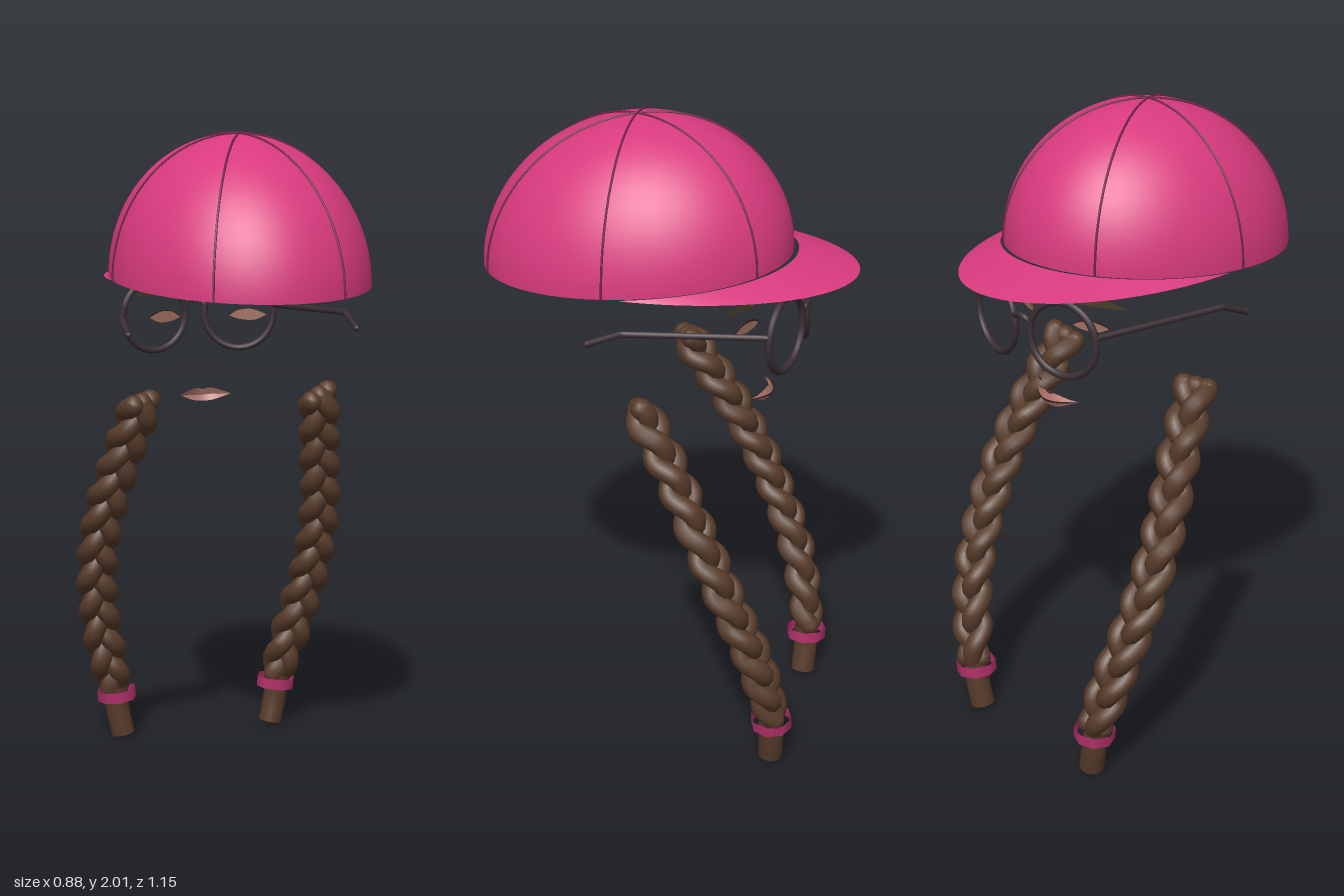
import * as THREE from 'three';

const V = (x, y, z) => new THREE.Vector3(x, y, z);
function paint(name, color, double = true) {
  const m = new THREE.MeshStandardMaterial({ color, side: double ? THREE.DoubleSide : THREE.FrontSide });
  m.name = name;
  return m;
}

export function createModel() {
  const model = new THREE.Group();
  model.name = 'capGlassesAndBraids';
  const pink = paint('cap pink', 0xd83a7e);
  const seamPink = paint('seam dark pink', 0x732449, false);
  const tiePink = paint('hair tie pink', 0xb0306a);
  const hair = paint('hair brown', 0x573b2a, false);
  const frame = paint('frame dark', 0x3a2e33, false);
  const brow = paint('brow brown', 0x4a3c26);
  const lid = paint('eyelid rose', 0xa0705f);
  const lip = paint('lip rose', 0xb0736a);
  const dark = paint('line dark', 0x3a2020);

  const add = (name, geo, mat, parent = model) => {
    const mesh = new THREE.Mesh(geo, mat);
    mesh.name = name;
    parent.add(mesh);
    return mesh;
  };
  const group = (name) => {
    const g = new THREE.Group();
    g.name = name;
    model.add(g);
    return g;
  };
  const tube = (pts, r, n = 24, sides = 8) =>
    new THREE.TubeGeometry(new THREE.CatmullRomCurve3(pts), n, r, sides);

  // Cap crown: open half ellipsoid whose rim tilts up towards the brim
  const cap = group('cap');
  const RX = 0.392, RY = 0.434, RZ = 0.474, CY = 1.5625, CZ = 0.1;
  const tilt = new THREE.Matrix4().set(
    RX, 0, 0, 0,
    0, RY, -0.038, CY,
    0, 0, RZ, CZ,
    0, 0, 0, 1);
  const dome = new THREE.SphereGeometry(1, 72, 28, 0, Math.PI * 2, 0, Math.PI / 2);
  add('crown', dome.applyMatrix4(tilt), pink, cap);

  // Three seams lying on the crown, each running over the top from rim to rim
  for (let k = 0; k < 3; k++) {
    const a = k * Math.PI / 3, pts = [], R = 1.005;
    for (let i = 0; i <= 24; i++) {
      const e = Math.PI * i / 24;
      pts.push(V(Math.cos(e) * Math.cos(a), Math.sin(e), Math.cos(e) * Math.sin(a))
        .multiplyScalar(R).applyMatrix4(tilt));
    }
    add('crownSeam', tube(pts, 0.0035, 96, 6), seamPink, cap);
  }

  // Brim: a thin crescent, arched along the crown and level at its outer edge
  const NB = 48, NR = 6, pos = [], idx = [];
  for (let i = 0; i <= NB; i++) {
    const t = -1 + 2 * i / NB;
    const inA = t * 1.466, outA = t * Math.PI / 2;
    const inner = V(RX * 0.985 * Math.sin(inA), 1.557 + 0.046 * Math.cos(inA), CZ - 0.489 * Math.cos(inA));
    const outer = V(0.384 * Math.sin(outA), 1.56, 0.05 - 0.626 * Math.cos(outA));
    for (let j = 0; j <= NR; j++) pos.push(...inner.clone().lerp(outer, j / NR).toArray());
  }
  for (let i = 0; i < NB; i++) for (let j = 0; j < NR; j++) {
    const a = i * (NR + 1) + j, b = a + NR + 1;
    idx.push(a, b, a + 1, b, b + 1, a + 1);
  }
  const brim = new THREE.BufferGeometry();
  brim.setAttribute('position', new THREE.Float32BufferAttribute(pos, 3));
  brim.setIndex(idx);
  brim.computeVertexNormals();
  add('brim', brim, pink, cap);

  // Glasses: wrapped round rims, arched bridge, bent temples
  const glasses = group('glasses');
  for (const s of [-1, 1]) {
    const rim = add('rim', new THREE.TorusGeometry(0.114, 0.011, 10, 48), frame, glasses);
    rim.position.set(s * 0.143, 1.408, -0.39);
    rim.rotation.y = -s * 0.24;
    const bends = [V(s * 0.252, 1.435, -0.36), V(s * 0.357, 1.446, 0.055), V(s * 0.36, 1.405, 0.155)];
    const path = new THREE.CurvePath();
    for (let i = 0; i < 2; i++) path.add(new THREE.LineCurve3(bends[i], bends[i + 1]));
    add('temple', new THREE.TubeGeometry(path, 40, 0.01, 8), frame, glasses);
    for (const p of [bends[0], bends[2]])
      add('templeEnd', new THREE.SphereGeometry(0.0105, 10, 8), frame, glasses).position.copy(p);
  }
  add('bridge', tube([V(-0.036, 1.435, -0.415), V(-0.018, 1.453, -0.424), V(0.018, 1.453, -0.424),
    V(0.036, 1.435, -0.415)], 0.009), frame, glasses);

  // Thin face plates, bent around the face by a depth rule
  const face = group('face');
  function plate(name, mat, top, bottom, depth, s = 1) {
    const up = new THREE.CatmullRomCurve3(top.map(([x, y]) => V(s * x, y, 0))).getPoints(16);
    const low = new THREE.CatmullRomCurve3(bottom.map(([x, y]) => V(s * x, y, 0))).getPoints(16);
    const p = [], f = [];
    up.forEach((u, i) => {
      for (const q of [u, low[i]]) p.push(q.x, q.y, depth(Math.abs(q.x), q.y));
      if (i < 16) {
        const a = i * 2;
        if (s > 0) f.push(a, a + 2, a + 1, a + 1, a + 2, a + 3);
        else f.push(a, a + 1, a + 2, a + 1, a + 3, a + 2);
      }
    });
    const g = new THREE.BufferGeometry();
    g.setAttribute('position', new THREE.Float32BufferAttribute(p, 3));
    g.setIndex(f);
    g.computeVertexNormals();
    add(name, g, mat, face);
  }
  const eyeZ = (x) => -0.292 + Math.max(0, x - 0.09) * 0.43;
  const browZ = (x) => -0.325 + (x - 0.09) * 0.58;
  for (const s of [-1, 1]) {
    plate('eye', lid, [[0.082, 1.41], [0.11, 1.428], [0.15, 1.432], [0.195, 1.415]],
      [[0.082, 1.41], [0.115, 1.399], [0.16, 1.398], [0.195, 1.415]], eyeZ, s);
    plate('lashLine', dark, [[0.082, 1.412], [0.11, 1.431], [0.15, 1.435], [0.199, 1.418]],
      [[0.082, 1.41], [0.11, 1.424], [0.15, 1.428], [0.197, 1.413]], (x) => eyeZ(x) - 0.004, s);
    plate('eyebrow', brow, [[0.09, 1.508], [0.13, 1.517], [0.18, 1.512], [0.245, 1.487]],
      [[0.09, 1.492], [0.13, 1.487], [0.18, 1.484], [0.245, 1.482]], browZ, s);
    plate('nostril', dark, [[0.029, 1.252], [0.037, 1.257], [0.046, 1.251]],
      [[0.029, 1.252], [0.037, 1.249], [0.046, 1.251]], () => -0.385, s);
  }
  const lipZ = (x, y) => -0.325 + x * x * 6 + Math.abs(y - 1.155) * 0.5;
  plate('upperLip', lip, [[-0.085, 1.158], [-0.02, 1.175], [0, 1.17], [0.02, 1.175], [0.085, 1.158]],
    [[-0.085, 1.156], [-0.03, 1.154], [0, 1.152], [0.03, 1.154], [0.085, 1.156]], lipZ);
  plate('lowerLip', lip, [[-0.08, 1.155], [-0.03, 1.153], [0, 1.151], [0.03, 1.153], [0.08, 1.155]],
    [[-0.08, 1.154], [-0.035, 1.136], [0, 1.132], [0.035, 1.136], [0.08, 1.154]], lipZ);
  plate('mouthLine', dark, [[-0.086, 1.159], [0, 1.156], [0.086, 1.159]],
    [[-0.086, 1.155], [0, 1.149], [0.086, 1.155]], (x, y) => lipZ(x, y) - 0.005);

  // Braids: three strands woven around a curved centre line
  for (const s of [-1, 1]) {
    const braid = group(s > 0 ? 'leftBraid' : 'rightBraid');
    const line = new THREE.CatmullRomCurve3([
      V(s * 0.287, 1.18, 0.018), V(s * 0.325, 1.0, -0.09), V(s * 0.362, 0.8, -0.19), V(s * 0.368, 0.6, -0.278),
      V(s * 0.34, 0.4, -0.355), V(s * 0.285, 0.17, -0.408)]);
    const N = 110;
    for (let k = 0; k < 3; k++) {
      const pts = [];
      for (let i = 0; i <= N; i++) {
        const u = i / N, c = line.getPointAt(u), t = line.getTangentAt(u);
        const side = V(1, 0, 0).addScaledVector(t, -t.x).normalize();
        const out = t.clone().cross(side);
        const w = 2 * Math.PI * (3.3 * u + k / 3);
        const taper = u > 0.9 ? 1 - (u - 0.9) * 3 : 1;
        pts.push(c.addScaledVector(side, 0.036 * taper * Math.sin(w))
          .addScaledVector(out, 0.022 * taper * Math.sin(2 * w)));
      }
      add('strand', tube(pts, 0.033, 140, 10), hair, braid);
      for (const p of [pts[0], pts[N]])
        add('strandEnd', new THREE.SphereGeometry(0.033, 10, 8), hair, braid).position.copy(p);
    }
    // Loose end below the tie
    const tail = [V(s * 0.283, 0.17, -0.4), V(s * 0.275, 0.09, -0.402), V(s * 0.258, 0.006, -0.398)];
    add('tail', tube(tail, 0.039, 12, 14), hair, braid);
    const tip = add('tailEnd', new THREE.CircleGeometry(0.039, 14), hair, braid);
    tip.position.copy(tail[2]);
    tip.lookAt(tail[2].clone().multiplyScalar(2).sub(tail[1]));
    // Hair tie: thin eight-sided band
    const tie = add('hairTie', new THREE.CylinderGeometry(0.065, 0.065, 0.036, 8, 1, true), tiePink, braid);
    tie.position.set(s * 0.278, 0.143, -0.403);
    tie.rotation.z = -s * 0.1;
  }
  return model;
}
